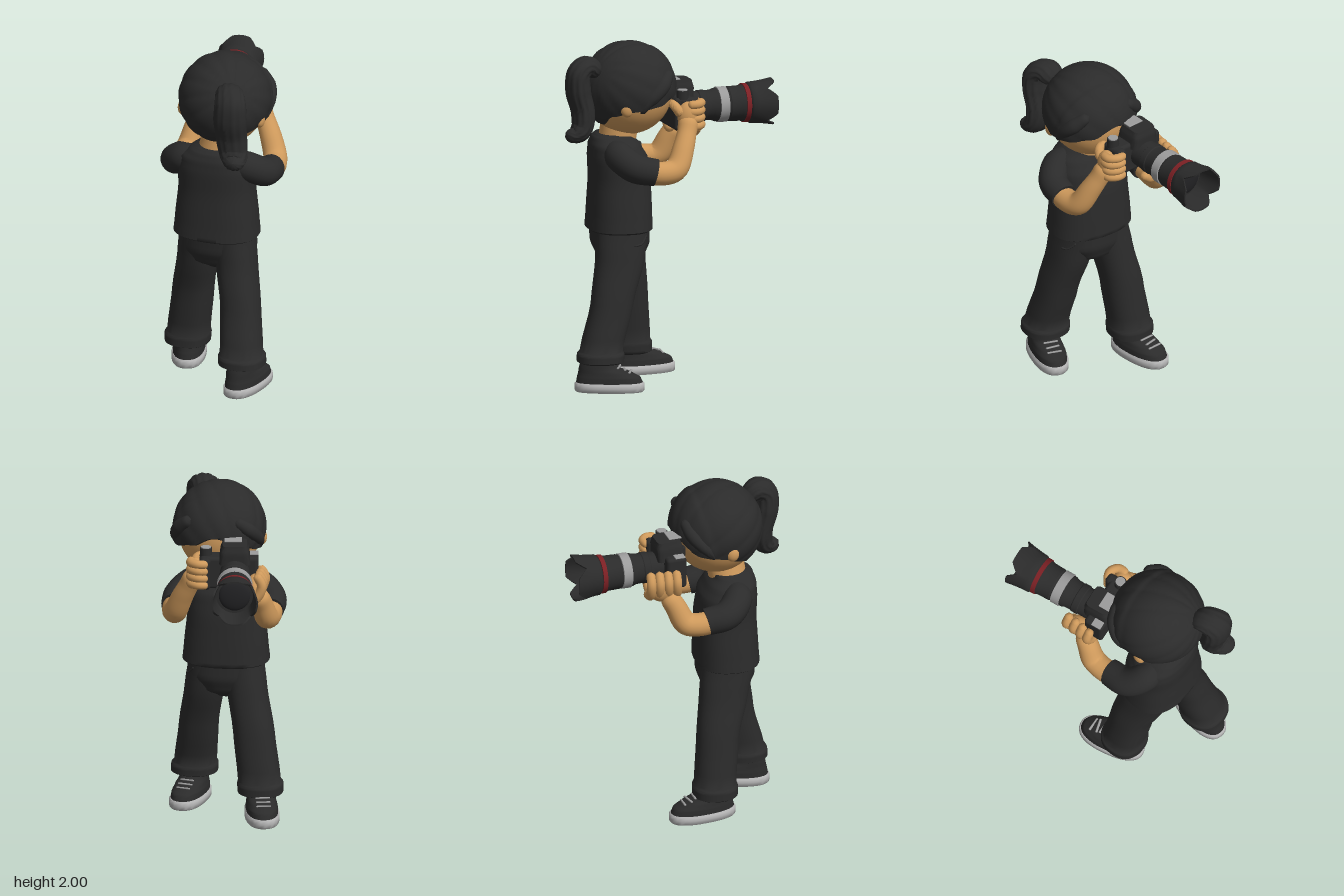
import * as THREE from 'three';
import { toCreasedNormals } from 'three/addons/utils/BufferGeometryUtils.js';
import { RoundedBoxGeometry } from 'three/addons/geometries/RoundedBoxGeometry.js';

const material = (name, color) => {
  const m = new THREE.MeshStandardMaterial({ color });
  m.name = name;
  return m;
};
const V = (x, y, z) => new THREE.Vector3(x, y, z);

// Skin over a stack of closed rings, with both ends capped
function skinRings(rings, crease = 0.9) {
  const n = rings[0].length, pts = rings.flat(), index = [];
  for (let i = 0; i < rings.length - 1; i++) for (let j = 0; j < n; j++) {
    const k = (j + 1) % n, a = i * n, b = a + n;
    index.push(a + j, b + j, a + k, a + k, b + j, b + k);
  }
  [0, rings.length - 1].forEach((r, end) => {
    const c = V(0, 0, 0);
    rings[r].forEach(p => c.addScaledVector(p, 1 / n));
    pts.push(c);
    for (let j = 0; j < n; j++) {
      const a = r * n + j, b = r * n + (j + 1) % n;
      index.push(pts.length - 1, end ? b : a, end ? a : b);
    }
  });
  const g = new THREE.BufferGeometry().setFromPoints(pts);
  g.setIndex(index);
  return toCreasedNormals(g, crease);
}

// Horizontal rounded sections: [y, centre x, centre z, radius x, radius z], smoothed between rows
function loft(rows, power = 2, steps = 4, n = 36) {
  const rings = [], e = 2 / power;
  const round = v => Math.sign(v) * Math.abs(v) ** e;
  for (let s = 0; s <= (rows.length - 1) * steps; s++) {
    const i = Math.min(Math.floor(s / steps), rows.length - 2), t = s / steps - i;
    const f = t * t * (3 - 2 * t) * 0.4 + t * 0.6;
    const [y, x, z, rx, rz] = rows[i].map((v, k) => v + (rows[i + 1][k] - v) * (k ? f : t));
    rings.push(Array.from({ length: n }, (_, j) => {
      const a = j / n * Math.PI * 2;
      return V(x + rx * round(Math.cos(a)), y, z + rz * round(Math.sin(a)));
    }));
  }
  return skinRings(rings);
}

// Tube of varying radius with optional round ends and lengthwise ridges
function sweep(path, radii, { steps = 24, n = 20, round = true, ridges = 0 } = {}) {
  const curve = new THREE.CatmullRomCurve3(path.map(p => V(...p)));
  const { normals, binormals } = curve.computeFrenetFrames(steps);
  const len = curve.getLength(), rings = [];
  for (let i = 0; i <= steps; i++) {
    const u = i / steps, f = u * (radii.length - 1), k = Math.min(Math.floor(f), radii.length - 2);
    let r = radii[k] + (radii[k + 1] - radii[k]) * (f - k);
    if (round) {
      const d = Math.max(0, 1 - Math.min(u, 1 - u) * len / r);
      r *= Math.sqrt(Math.max(0.003, 1 - d * d));
    }
    const c = curve.getPointAt(u);
    rings.push(Array.from({ length: n }, (_, j) => {
      const a = j / n * Math.PI * 2;
      const q = r * (ridges ? 0.94 + 0.08 * Math.abs(Math.cos(a * ridges / 2)) : 1);
      return c.clone().addScaledVector(normals[i], q * Math.cos(a)).addScaledVector(binormals[i], -q * Math.sin(a));
    }));
  }
  return skinRings(rings);
}

export function createModel() {
  const model = new THREE.Group();
  const black = material('charcoal', 0x2b2b2b), skin = material('skin', 0xcf9a5c);
  const grey = material('light grey', 0x9c9c9c), sole = material('sole grey', 0xb4b4b4);
  const red = material('ring red', 0x7c2024), glass = material('lens glass', 0x222224);
  const add = (name, geometry, mat, parent = model) => {
    const m = new THREE.Mesh(geometry, mat);
    m.name = name;
    parent.add(m);
    return m;
  };
  const ball = (name, mat, p, s, parent) => {
    const m = add(name, new THREE.SphereGeometry(1, 36, 24), mat, parent);
    m.position.set(...p);
    m.scale.set(...s);
    return m;
  };

  // Head, ears and neck
  ball('head', skin, [0.03, 1.71, 0.23], [0.238, 0.25, 0.25]);
  ball('ear', skin, [0.262, 1.645, 0.285], [0.026, 0.046, 0.038]);
  ball('ear', skin, [-0.205, 1.655, 0.285], [0.03, 0.046, 0.038]);
  add('neck', loft([[1.38, 0, 0.3, 0.12, 0.11], [1.54, 0.02, 0.28, 0.1, 0.11]]), skin);

  // Hair cap: lower edge height every 30 degrees, from the +x side towards the back
  const edge = [1.63, 1.6, 1.535, 1.525, 1.535, 1.58, 1.63, 1.65, 1.72, 1.75, 1.69, 1.655];
  const tie = V(0.42, 0.5, 0.76).normalize();
  const side = V(0, 1, 0).cross(tie).normalize(), up = tie.clone().cross(side);
  const hairRings = [];
  for (let i = 0; i <= 32; i++) hairRings.push(Array.from({ length: 96 }, (_, j) => {
    const a = j / 96 * Math.PI * 2, k = Math.floor(j / 8), t = (j % 8) / 8, f = t * t * (3 - 2 * t);
    const y = edge[k] * (1 - f) + edge[(k + 1) % 12] * f;
    const theta = Math.acos((y - 1.73) / 0.272) * (1 - i / 32) + 0.01;
    const d = V(Math.sin(theta) * Math.cos(a), Math.cos(theta), Math.sin(theta) * Math.sin(a));
    const strand = Math.abs(Math.sin(7 * Math.atan2(d.dot(up), d.dot(side)))) ** 0.5;
    const fringe = THREE.MathUtils.smoothstep(-d.z - 0.3 * d.y, 0.2, 0.32);
    return d.multiplyScalar(0.262 + 0.007 * strand + 0.009 * fringe).add(V(0.032, 1.73, 0.235));
  }));
  add('hairCap', skinRings(hairRings, 1.1), black);

  // Swept side locks of the fringe
  add('sideLock', sweep([[0.17, 1.84, 0.02], [0.25, 1.75, 0.09], [0.267, 1.68, 0.16], [0.26, 1.615, 0.205]],
    [0.03, 0.045, 0.038, 0.015]), black);
  add('sideLock', sweep([[-0.08, 1.84, 0.02], [-0.17, 1.76, 0.07], [-0.21, 1.69, 0.14], [-0.2, 1.63, 0.19]],
    [0.03, 0.042, 0.035, 0.015]), black);

  // Ponytail
  const tail = add('ponytail', sweep([[-0.03, 1.83, 0.42], [-0.015, 1.882, 0.495], [0, 1.85, 0.548], [0, 1.74, 0.552],
    [0, 1.62, 0.525], [0.01, 1.53, 0.535], [0.025, 1.495, 0.585], [0.03, 1.51, 0.635]],
    [0.045, 0.06, 0.068, 0.072, 0.068, 0.066, 0.058, 0.03], { steps: 44, n: 48, ridges: 12 }), black);
  tail.position.x = 0.17;
  tail.scale.x = 1.36;

  // T-shirt
  add('shirt', loft([[0.905, 0, 0.284, 0.235, 0.175], [0.915, 0, 0.284, 0.25, 0.188], [1.0, 0, 0.282, 0.242, 0.184],
    [1.2, 0, 0.28, 0.222, 0.175], [1.33, 0, 0.292, 0.222, 0.168], [1.4, 0, 0.31, 0.2, 0.145],
    [1.445, 0, 0.32, 0.145, 0.12], [1.465, 0, 0.31, 0.115, 0.11]], 2.4), black);
  for (const s of [1, -1]) {
    add('sleeve', sweep([[0.06 * s, 1.385, 0.32], [0.19 * s, 1.355, 0.315], [0.268 * s, 1.3, 0.24], [0.275 * s, 1.272, 0.12]],
      [0.06, 0.086, 0.085, 0.079], { round: false }), black);
  }

  // Arms
  add('arm', sweep([[0.275, 1.28, 0.2], [0.275, 1.265, 0.08], [0.255, 1.285, 0.0], [0.205, 1.4, -0.055],
    [0.15, 1.51, -0.09], [0.125, 1.57, -0.1]], [0.066, 0.068, 0.068, 0.063, 0.056, 0.06], { steps: 32 }), skin);
  add('arm', sweep([[-0.275, 1.28, 0.2], [-0.28, 1.262, 0.07], [-0.272, 1.275, 0.0], [-0.25, 1.38, -0.06],
    [-0.23, 1.46, -0.11]], [0.066, 0.068, 0.068, 0.062, 0.056], { steps: 32 }), skin);

  // Hands: one on the camera grip, one cradling the lens
  ball('gripHand', skin, [0.125, 1.565, -0.1], [0.052, 0.085, 0.065]);
  ball('lensHand', skin, [-0.225, 1.49, -0.125], [0.055, 0.085, 0.09]);
  for (let i = 0; i < 4; i++) {
    const y = 1.505 + i * 0.042, z = -0.05 - i * 0.05;
    add('gripFinger', sweep([[0.15, y, -0.09], [0.145, y + 0.004, -0.15], [0.1, y + 0.006, -0.178], [0.045, y, -0.16]],
      [0.026, 0.026, 0.025, 0.023], { n: 14 }), skin);
    add('lensFinger', sweep([[-0.17, 1.435, z - 0.005], [-0.235, 1.455, z], [-0.27, 1.53, z], [-0.235, 1.6, z]],
      [0.03, 0.03, 0.028, 0.025], { n: 14 }), skin);
  }
  add('gripThumb', sweep([[0.14, 1.57, -0.06], [0.125, 1.625, -0.02], [0.07, 1.64, 0.0]], [0.03, 0.027, 0.022]), skin);
  add('lensThumb', sweep([[-0.21, 1.44, -0.15], [-0.12, 1.43, -0.18], [-0.055, 1.475, -0.19]], [0.035, 0.032, 0.026]), skin);

  // Camera body
  const camera = new THREE.Group();
  camera.name = 'camera';
  camera.position.set(-0.088, 1.575, 0);
  camera.rotation.y = 0.13;
  model.add(camera);
  const box = (name, mat, p, s, r) => {
    const m = add(name, new RoundedBoxGeometry(...s, 3, r), mat, camera);
    m.position.set(...p);
    return m;
  };
  box('cameraBody', black, [0.03, -0.005, -0.06], [0.33, 0.19, 0.12], 0.02);
  box('cameraGrip', black, [0.17, -0.005, -0.09], [0.065, 0.19, 0.12], 0.025);
  const hump = add('viewfinderHump', loft([[0.06, 0, -0.07, 0.09, 0.085], [0.13, 0, -0.075, 0.083, 0.08],
    [0.172, 0, -0.075, 0.07, 0.068]], 6), black, camera);
  hump.rotation.x = -0.04;
  box('eyepiece', black, [0, 0.08, 0.005], [0.08, 0.06, 0.04], 0.01);
  box('topPlate', grey, [0.01, 0.173, -0.04], [0.1, 0.008, 0.075], 0.003);
  box('sideDisplay', grey, [-0.11, 0.093, -0.04], [0.05, 0.008, 0.06], 0.003);
  const dial = add('topDial', new THREE.CylinderGeometry(0.034, 0.036, 0.05, 28), black, camera);
  dial.position.set(0.165, 0.105, -0.055);
  const dialCap = add('dialCap', new THREE.CylinderGeometry(0.028, 0.028, 0.008, 28), grey, camera);
  dialCap.position.set(0.165, 0.132, -0.055);

  // Lens, built along its own axis and laid forward
  const lens = new THREE.Group();
  lens.name = 'lens';
  lens.rotation.x = -Math.PI / 2;
  camera.add(lens);
  const barrel = (name, mat, profile) => add(name, toCreasedNormals(
    new THREE.LatheGeometry(profile.map(p => new THREE.Vector2(...p)), 44), 0.5), mat, lens);
  barrel('lensBarrel', black, [[0, 0.08], [0.085, 0.08], [0.085, 0.195], [0.09, 0.2], [0.09, 0.235], [0.086, 0.24],
    [0.088, 0.28], [0.096, 0.3], [0.096, 0.375], [0.1, 0.38], [0.102, 0.45], [0.106, 0.46], [0.106, 0.5], [0, 0.5]]);
  barrel('greyRing', grey, [[0.09, 0.312], [0.102, 0.314], [0.102, 0.366], [0.09, 0.37]]);
  barrel('redRing', red, [[0.1, 0.467], [0.112, 0.468], [0.112, 0.494], [0.1, 0.496]]);
  const glassMesh = ball('frontGlass', glass, [0, 0.505, 0], [0.09, 0.025, 0.09], lens);
  glassMesh.renderOrder = 0;

  // Petal hood: outside up, over the scalloped rim, then down the inside
  const hoodRows = [[0.107, 0], [0.118, 0.08], [0.12, 0.3], [0.126, 0.65], [0.135, 1], [0.125, 1], [0.112, 0.5], [0.106, 0.05]];
  add('lensHood', skinRings(hoodRows.map(([r, t]) => Array.from({ length: 64 }, (_, j) => {
    const a = j / 64 * Math.PI * 2;
    const tip = 0.592 + 0.055 * Math.min(1, Math.abs(Math.cos(2 * a)) * 1.4);
    return V(r * Math.cos(a), 0.495 + (tip - 0.495) * t, r * Math.sin(a));
  }))), black, lens);

  // Trousers
  add('pelvis', loft([[0.7, 0, 0.275, 0.05, 0.06], [0.75, 0, 0.275, 0.15, 0.135], [0.83, 0, 0.278, 0.212, 0.165],
    [0.93, 0, 0.282, 0.215, 0.17]], 2.4), black);
  add('trouserLeg', loft([[0.165, 0.202, 0.43, 0.115, 0.115], [0.175, 0.202, 0.43, 0.135, 0.135], [0.215, 0.2, 0.428, 0.135, 0.135],
    [0.235, 0.196, 0.424, 0.122, 0.122], [0.5, 0.167, 0.355, 0.113, 0.122], [0.75, 0.125, 0.3, 0.114, 0.142],
    [0.92, 0.105, 0.285, 0.11, 0.155]], 2.3), black);
  add('trouserLeg', loft([[0.14, -0.212, 0.18, 0.115, 0.11], [0.15, -0.212, 0.18, 0.13, 0.13], [0.2, -0.21, 0.18, 0.132, 0.13],
    [0.22, -0.205, 0.182, 0.122, 0.12], [0.5, -0.17, 0.205, 0.118, 0.122], [0.75, -0.125, 0.25, 0.114, 0.142],
    [0.92, -0.105, 0.28, 0.11, 0.155]], 2.3), black);
  for (const s of [1, -1]) {
    add('pocketSeam', sweep([[0.17 * s, 0.89, 0.155], [0.205 * s, 0.845, 0.19], [0.22 * s, 0.835, 0.235]],
      [0.006, 0.006], { n: 8 }), black);
  }

  // Shoes, toes forward and turned slightly out
  for (const [x, y, z, turn] of [[0.22, 0, 0.38, -0.22], [-0.23, 0.012, 0.102, 0.22]]) {
    const shoe = new THREE.Group();
    shoe.name = 'shoe';
    shoe.position.set(x, y, z);
    shoe.rotation.y = turn;
    model.add(shoe);
    add('sole', loft([[0, 0, 0, 0.092, 0.194], [0.008, 0, 0, 0.098, 0.2], [0.045, 0, 0, 0.098, 0.2],
      [0.053, 0, 0, 0.092, 0.194]], 2.4, 2), sole, shoe);
    add('shoeUpper', loft([[0.045, 0, 0, 0.092, 0.193], [0.08, 0, 0.004, 0.09, 0.183], [0.108, 0, 0.025, 0.083, 0.155],
      [0.135, 0, 0.06, 0.077, 0.116], [0.2, 0, 0.075, 0.07, 0.085]], 2.3), black, shoe);
    for (let i = 0; i < 3; i++) {
      const lace = add('lace', new RoundedBoxGeometry(0.085, 0.01, 0.014, 2, 0.004), grey, shoe);
      lace.position.set(0, 0.112 + i * 0.014, -0.118 + i * 0.032);
      lace.rotation.set(0.4, i % 2 ? 0.15 : -0.15, 0);
    }
  }
  return model;
}
